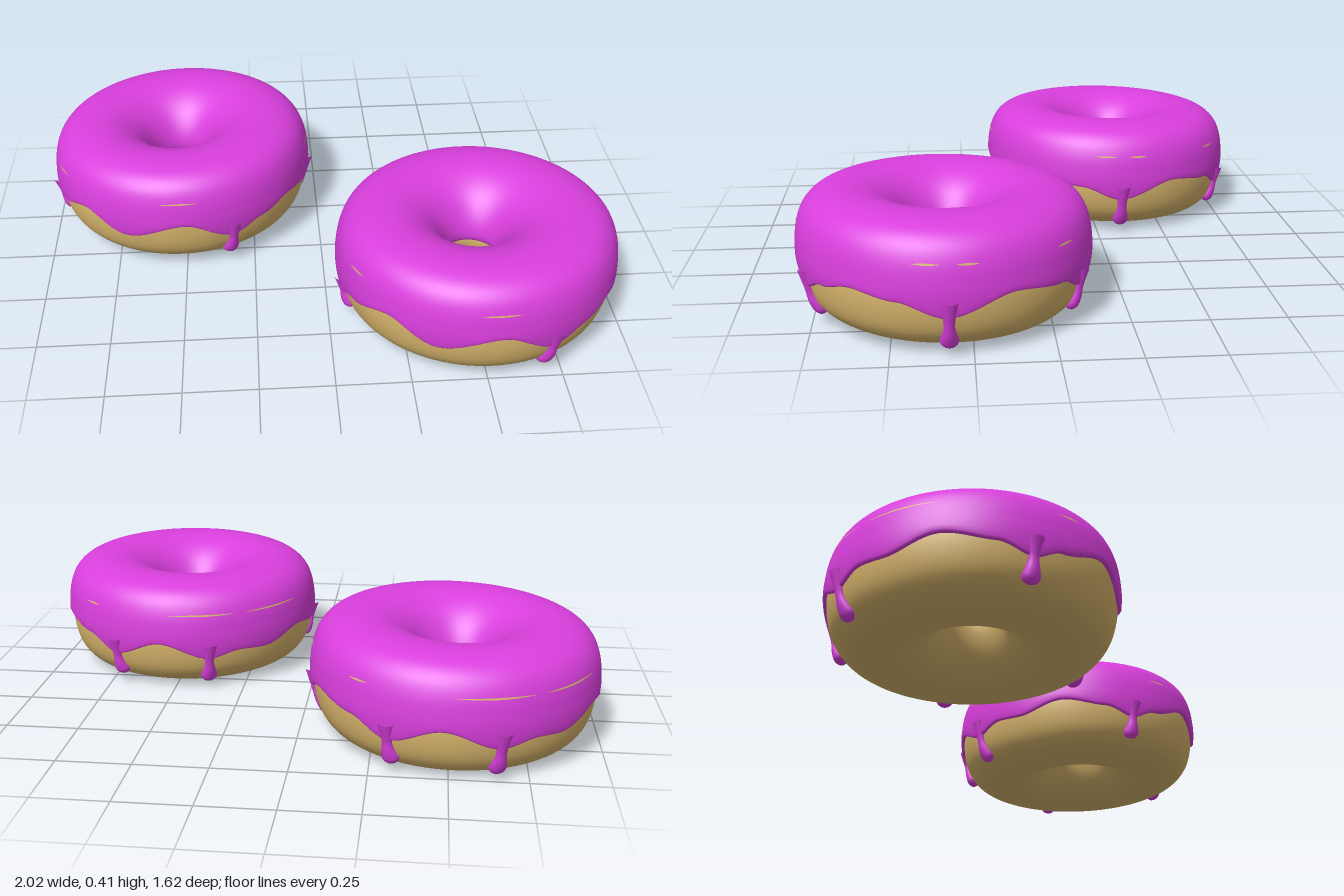
import * as THREE from 'three';

const icingMat = new THREE.MeshStandardMaterial({ color: 0xd93fdd });
icingMat.name = 'magenta icing';
const doughMat = new THREE.MeshStandardMaterial({ color: 0xd8b56c });
doughMat.name = 'golden dough';

const curve = (pts, closed = false) => new THREE.CatmullRomCurve3(
  pts.map(([r, y]) => new THREE.Vector3(r, y, 0)), closed, 'centripetal');
const rad = THREE.MathUtils.degToRad;

// Cross-sections as (radius, height): inner wall, over the top, down the outside
const doughProfile = curve([
  [0.095, 0.2], [0.105, 0.25], [0.15, 0.31], [0.21, 0.36], [0.3, 0.38], [0.39, 0.37], [0.44, 0.33],
  [0.463, 0.27], [0.472, 0.2], [0.466, 0.13], [0.447, 0.075], [0.41, 0.035], [0.35, 0.013],
  [0.28, 0.007], [0.21, 0.018], [0.15, 0.055], [0.112, 0.105], [0.094, 0.16]], true);
const icingProfile = curve([
  [0.105, 0.17], [0.087, 0.195], [0.092, 0.24], [0.115, 0.29], [0.15, 0.335], [0.195, 0.37],
  [0.25, 0.394], [0.31, 0.402], [0.37, 0.396], [0.42, 0.377], [0.455, 0.343], [0.475, 0.295],
  [0.483, 0.245], [0.485, 0.2], [0.478, 0.14], [0.462, 0.085], [0.43, 0.045], [0.39, 0.022]]);

// Lower icing edge: [angle in degrees, height]
const edgeKeys = [
  [0, 0.145], [18, 0.19], [36, 0.208], [52, 0.18], [66, 0.14], [88, 0.215], [114, 0.16], [135, 0.225],
  [158, 0.175], [170, 0.14], [184, 0.175], [204, 0.2], [225, 0.158], [238, 0.165], [252, 0.14],
  [274, 0.198], [296, 0.14], [312, 0.19], [334, 0.21], [360, 0.145]];
// Drips: [angle in degrees, tip height]
const drips = [[-1, 0.03], [66, 0.035], [170, 0.05], [252, 0.035], [296, 0.045]];
// Dough showing through thin icing: [start, end] in degrees
const gaps = [[-12, -4], [2, 12], [82, 98], [150, 160], [205, 235], [240, 270], [305, 314]];

function edgeHeight(deg) {
  const k = edgeKeys.findIndex(([a]) => a > deg);
  const [a0, y0] = edgeKeys[k - 1], [a1, y1] = edgeKeys[k];
  return y0 + (y1 - y0) * THREE.MathUtils.smoothstep(deg, a0, a1);
}

// Curve parameter where the outer icing wall reaches a height
function outerT(y) {
  let lo = 0.5, hi = 1;
  for (let i = 0; i < 30; i++) {
    const mid = (lo + hi) / 2;
    if (icingProfile.getPoint(mid).y > y) lo = mid; else hi = mid;
  }
  return lo;
}

// Slightly uneven hand-made shape
function warp(p) {
  const r = Math.hypot(p.x, p.z);
  const y = p.y + 0.02 * p.z + 0.02 * p.x * p.y / 0.4;
  return new THREE.Vector3(p.x - 0.016 * Math.max(0, 1 - r / 0.48), y, p.z * (r > 0.3 ? 0.985 : 1));
}
const polar = (r, y, a) => new THREE.Vector3(r * Math.cos(a), y, r * Math.sin(a));

// Surface from a rule: u goes around, v along the section
function surface(nu, nv, wrapU, wrapV, rule) {
  const cu = wrapU ? nu : nu + 1, cv = wrapV ? nv : nv + 1;
  const pos = [], idx = [];
  for (let i = 0; i < cu; i++)
    for (let j = 0; j < cv; j++) pos.push(...warp(rule(i / nu, j / nv, j)).toArray());
  const id = (i, j) => (i % cu) * cv + (j % cv);
  for (let i = 0; i < nu; i++)
    for (let j = 0; j < nv; j++)
      idx.push(id(i, j), id(i + 1, j), id(i, j + 1), id(i + 1, j), id(i + 1, j + 1), id(i, j + 1));
  const g = new THREE.BufferGeometry();
  g.setAttribute('position', new THREE.Float32BufferAttribute(pos, 3));
  g.setIndex(idx);
  g.computeVertexNormals();
  return g;
}

function doughGeometry() {
  return surface(96, 60, true, true, (u, v) => {
    const p = doughProfile.getPoint(v);
    return polar(p.x, p.y, u * Math.PI * 2);
  });
}

function icingGeometry() {
  const rows = 44;
  let lastU = -1, tEnd = 1;
  return surface(216, rows + 3, true, false, (u, v, j) => {
    if (u !== lastU) { tEnd = outerT(edgeHeight(u * 360)); lastU = u; }
    const p = icingProfile.getPoint(tEnd * Math.min(1, j / rows));
    // rounded lip tucked into the dough
    const [dr, dy] = [[0, 0], [-0.004, -0.006], [-0.012, -0.008], [-0.035, 0]][Math.max(0, j - rows)];
    return polar(p.x + dr, p.y + dy, u * Math.PI * 2);
  });
}

// Teardrop running down the outer wall
function dripGeometry(deg, tip) {
  const widths = curve([[0, 0.03], [0.2, 0.021], [0.42, 0.017], [0.65, 0.025], [0.82, 0.03], [0.94, 0.021], [1, 0.0005]]);
  const a = rad(deg), tangent = polar(1, 0, a + Math.PI / 2);
  const t0 = outerT(0.19), t1 = outerT(tip);
  return surface(16, 24, true, false, (u, v) => {
    const w = widths.getPoint(v), t = t0 + (t1 - t0) * w.x;
    const p = icingProfile.getPoint(t), d = icingProfile.getTangent(t);
    const normal = polar(-d.y, d.x, a);
    return polar(p.x, p.y, a).addScaledVector(normal, -0.008)
      .addScaledVector(tangent, w.y * Math.cos(u * Math.PI * 2))
      .addScaledVector(normal, -w.y * 0.85 * Math.sin(u * Math.PI * 2));
  });
}

function gapGeometry(from, to) {
  return surface(12, 1, false, false, (u, v) => {
    const half = 0.003 * Math.sin(Math.PI * (0.05 + 0.9 * u));
    const p = icingProfile.getPoint(outerT(0.301 + half * (1 - 2 * v)));
    return polar(p.x + 0.002, p.y, rad(from + (to - from) * u));
  });
}

export function createModel() {
  const model = new THREE.Group();
  model.name = 'doughnuts';
  const parts = [
    ['dough', doughGeometry(), doughMat],
    ['icing', icingGeometry(), icingMat],
    ...drips.map(([a, y]) => ['icingDrip', dripGeometry(a, y), icingMat]),
    ...gaps.map(([a, b]) => ['icingGap', gapGeometry(a, b), doughMat]),
  ];
  for (const side of [-1, 1]) {
    const doughnut = new THREE.Group();
    doughnut.name = side < 0 ? 'backDoughnut' : 'frontDoughnut';
    for (const [name, geometry, material] of parts) {
      const mesh = new THREE.Mesh(geometry, material);
      mesh.name = name;
      doughnut.add(mesh);
    }
    doughnut.position.set(0.513 * side, 0, 0.33 * side);
    model.add(doughnut);
  }
  return model;
}
